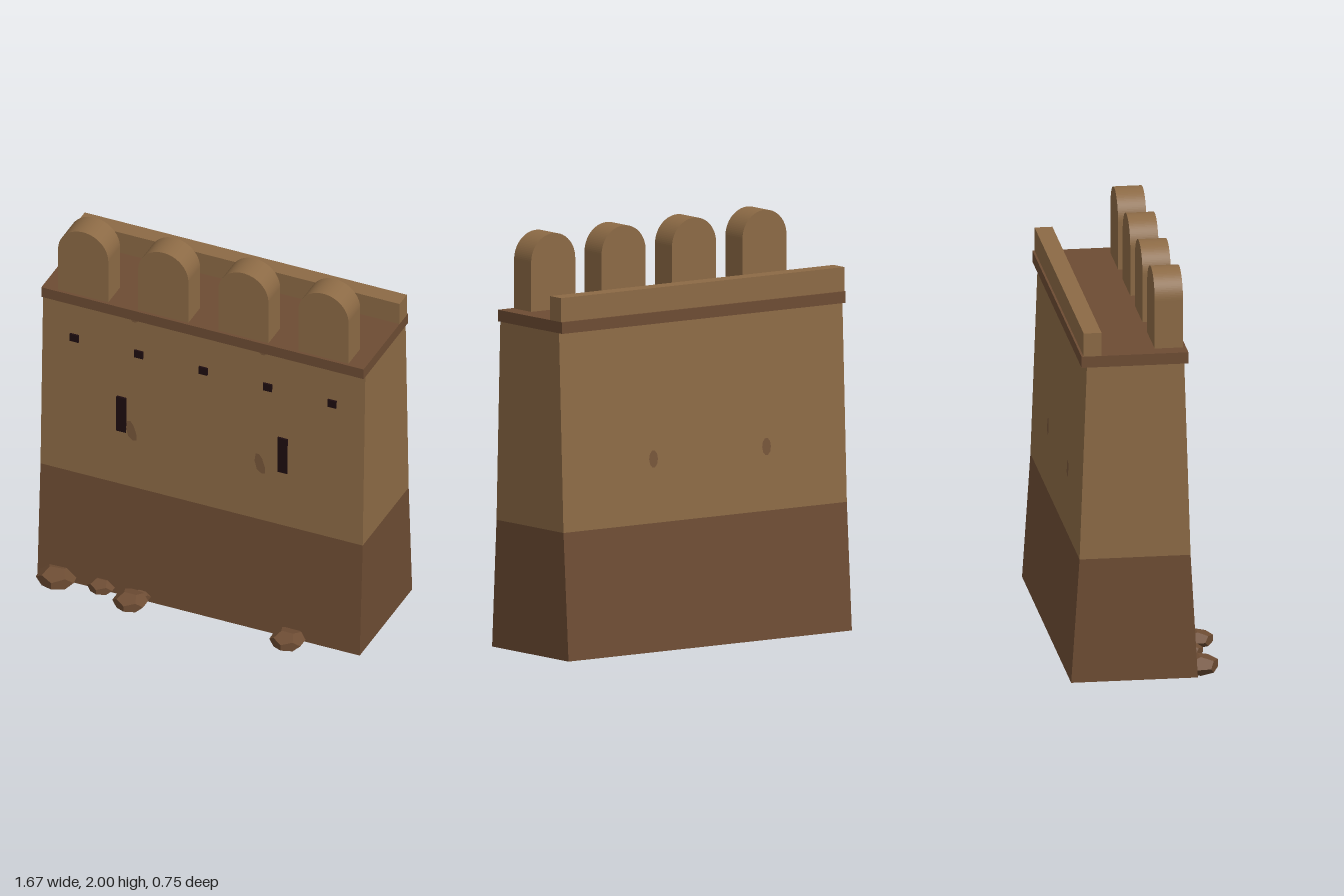
import * as THREE from 'three';

const W = 1.67; // wall length along x

export function createModel() {
  const model = new THREE.Group();
  const mat = (name, color, side = THREE.FrontSide) => {
    const m = new THREE.MeshStandardMaterial({ color, side });
    m.name = name;
    return m;
  };
  const sand = mat('sandstone', 0x8c6a45);
  const brown = mat('dark mud brick', 0x6d4c33);
  const black = mat('opening black', 0x1e0d10);
  const stain = mat('stain brown', 0x765539, THREE.DoubleSide);

  const add = (name, geometry, material, x = 0, y = 0, z = 0) => {
    const mesh = new THREE.Mesh(geometry, material);
    mesh.name = name;
    mesh.position.set(x, y, z);
    model.add(mesh);
    return mesh;
  };

  // Prism running along x from a (z, y) cross-section
  const prism = (points) => {
    const shape = new THREE.Shape(points.map(([z, y]) => new THREE.Vector2(z, y)));
    const g = new THREE.ExtrudeGeometry(shape, { depth: W, bevelEnabled: false });
    g.rotateY(-Math.PI / 2);
    g.translate(W / 2, 0, 0);
    return g;
  };

  // Battered wall: steeper upper part over a flared base
  add('wallBase', prism([[-0.375, 0.02], [0.23, 0.02], [0.195, 0.63], [-0.335, 0.63]]), brown);
  add('upperWall', prism([[-0.335, 0.63], [0.195, 0.63], [0.165, 1.58], [-0.3, 1.58]]), sand);

  // Walkway slab and low rear parapet
  add('walkway', new THREE.BoxGeometry(W, 0.055, 0.51), brown, 0, 1.6075, -0.07);
  add('rearParapet', new THREE.BoxGeometry(W, 0.115, 0.085), sand, 0, 1.6925, -0.2725);

  // Round-topped merlons
  const arch = new THREE.Shape();
  arch.moveTo(-0.13, 0);
  arch.lineTo(0.13, 0);
  arch.lineTo(0.13, 0.235);
  arch.absarc(0, 0.235, 0.13, 0, Math.PI, false);
  arch.lineTo(-0.13, 0);
  const merlon = new THREE.ExtrudeGeometry(arch, { depth: 0.135, bevelEnabled: false, curveSegments: 24 });
  for (let i = 0; i < 4; i++) add('merlon', merlon, sand, -0.625 + i * 0.415, 1.635, 0.035);

  // Arrow slits and beam holes
  for (const x of [-0.42, 0.415]) add('arrowSlit', new THREE.BoxGeometry(0.05, 0.195, 0.02), black, x, 1.023, 0.18);
  for (let i = 0; i < 5; i++) add('beamHole', new THREE.BoxGeometry(0.045, 0.04, 0.02), black, -0.669 + i * 0.334, 1.385, 0.17);

  // Weathered patches lying on the sloping faces
  const frontZ = (y) => 0.195 - 0.03 * (y - 0.63) / 0.95 + 0.003;
  const backZ = (y) => -0.335 + 0.035 * (y - 0.63) / 0.95 - 0.003;
  const drop = new THREE.ShapeGeometry(new THREE.Shape(
    [[-0.022, 0.05], [-0.027, 0.01], [-0.015, -0.035], [0.01, -0.053], [0.028, -0.048],
      [0.027, -0.015], [0.012, 0.03], [-0.005, 0.053]].map(([x, y]) => new THREE.Vector2(x, y))));
  const oval = new THREE.CircleGeometry(1, 10);
  for (const x of [-0.368, 0.298]) {
    add('frontStain', drop, stain, x, 0.945, frontZ(0.945)).rotation.x = -0.0316;
    const upper = add('upperStain', oval, stain, x + 0.007, 1.59, frontZ(1.59));
    upper.scale.set(0.026, 0.034, 1);
    upper.rotation.x = -0.0316;
    const back = add('backStain', oval, stain, x, 0.935, backZ(0.935));
    back.scale.set(0.026, 0.042, 1);
    back.rotation.set(0.0368, Math.PI, 0);
  }

  // Flattened rubble along the foot of the front: x, z, radius, turn
  const rubble = [
    [-0.725, 0.25, 0.1, 0.12], [-0.5, 0.235, 0.07, 0], [-0.325, 0.295, 0.085, 0],
    [-0.295, 0.225, 0.05, 0.3], [0.485, 0.285, 0.086, 0],
  ];
  for (const [x, z, r, turn] of rubble) {
    const rock = add('rubbleRock', new THREE.DodecahedronGeometry(r), brown, x, 0.05, z);
    rock.scale.y = 0.5;
    rock.rotation.y = turn;
  }
  return model;
}
